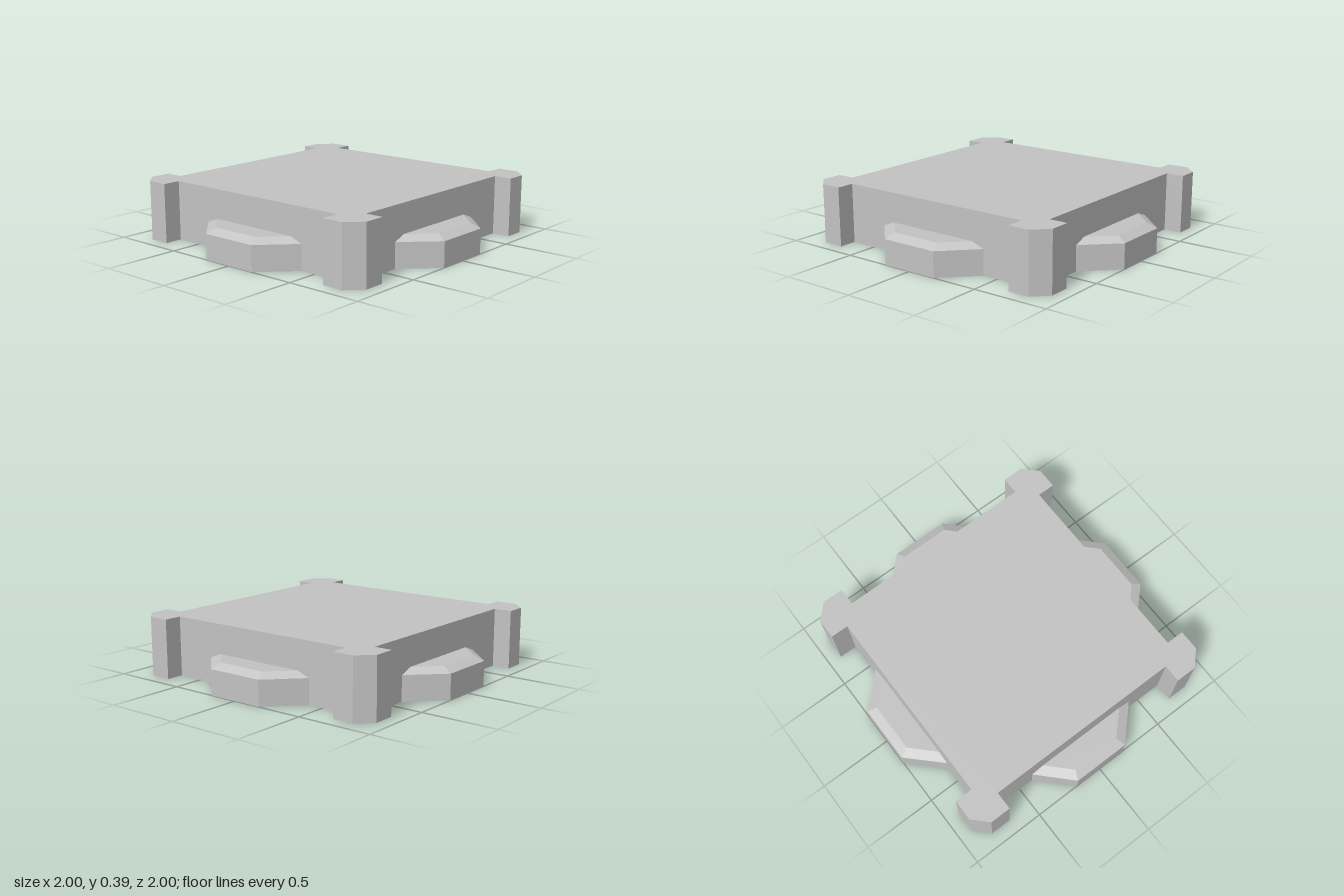
import * as THREE from 'three';

const H = 0.39;      // platform height
const SIDE = 0.79;   // half width of the main slab

// Square slab outline with a chamfered pillar on each corner, extruded upward
function platformGeometry() {
  const corner = [
    [SIDE, 0.675], [0.91, 0.675], [0.91, 0.815],
    [0.815, 0.91], [0.675, 0.91], [0.675, SIDE],
  ];
  const points = [];
  for (let i = 0; i < 4; i++) {
    for (const [x, y] of corner) {
      points.push(new THREE.Vector2(x, y).rotateAround(new THREE.Vector2(), i * Math.PI / 2));
    }
  }
  const geometry = new THREE.ExtrudeGeometry(new THREE.Shape(points), { depth: H, bevelEnabled: false });
  return geometry.rotateX(-Math.PI / 2);
}

// Trapezoid step with a sloped upper edge, lofted through three open rings
function ledgeGeometry() {
  const ring = (y, backX, frontX, z) => [
    [-backX, y, SIDE], [-frontX, y, z], [frontX, y, z], [backX, y, SIDE],
  ];
  const rings = [
    ring(0, 0.4, 0.193, 1),
    ring(0.165, 0.4, 0.193, 1),
    ring(0.197, 0.315, 0.168, 0.938),
  ];
  const positions = [];
  const quad = (a, b, c, d) => positions.push(...a, ...b, ...c, ...a, ...c, ...d);
  for (let r = 0; r < 2; r++) {
    for (let i = 0; i < 3; i++) {
      quad(rings[r][i], rings[r][i + 1], rings[r + 1][i + 1], rings[r + 1][i]);
    }
  }
  quad(...rings[2]);
  quad(...[...rings[0]].reverse());
  const geometry = new THREE.BufferGeometry();
  geometry.setAttribute('position', new THREE.Float32BufferAttribute(positions, 3));
  geometry.computeVertexNormals();
  return geometry;
}

export function createModel() {
  const model = new THREE.Group();
  model.name = 'platform';
  const grey = new THREE.MeshStandardMaterial({ color: 0xc4c4c4 });
  grey.name = 'light grey';

  const slab = new THREE.Mesh(platformGeometry(), grey);
  slab.name = 'slabWithCornerPillars';
  model.add(slab);

  // One ledge on each side
  const ledge = ledgeGeometry();
  ['frontLedge', 'leftLedge', 'backLedge', 'rightLedge'].forEach((name, i) => {
    const mesh = new THREE.Mesh(ledge, grey);
    mesh.name = name;
    mesh.rotation.y = i * Math.PI / 2;
    model.add(mesh);
  });
  return model;
}
